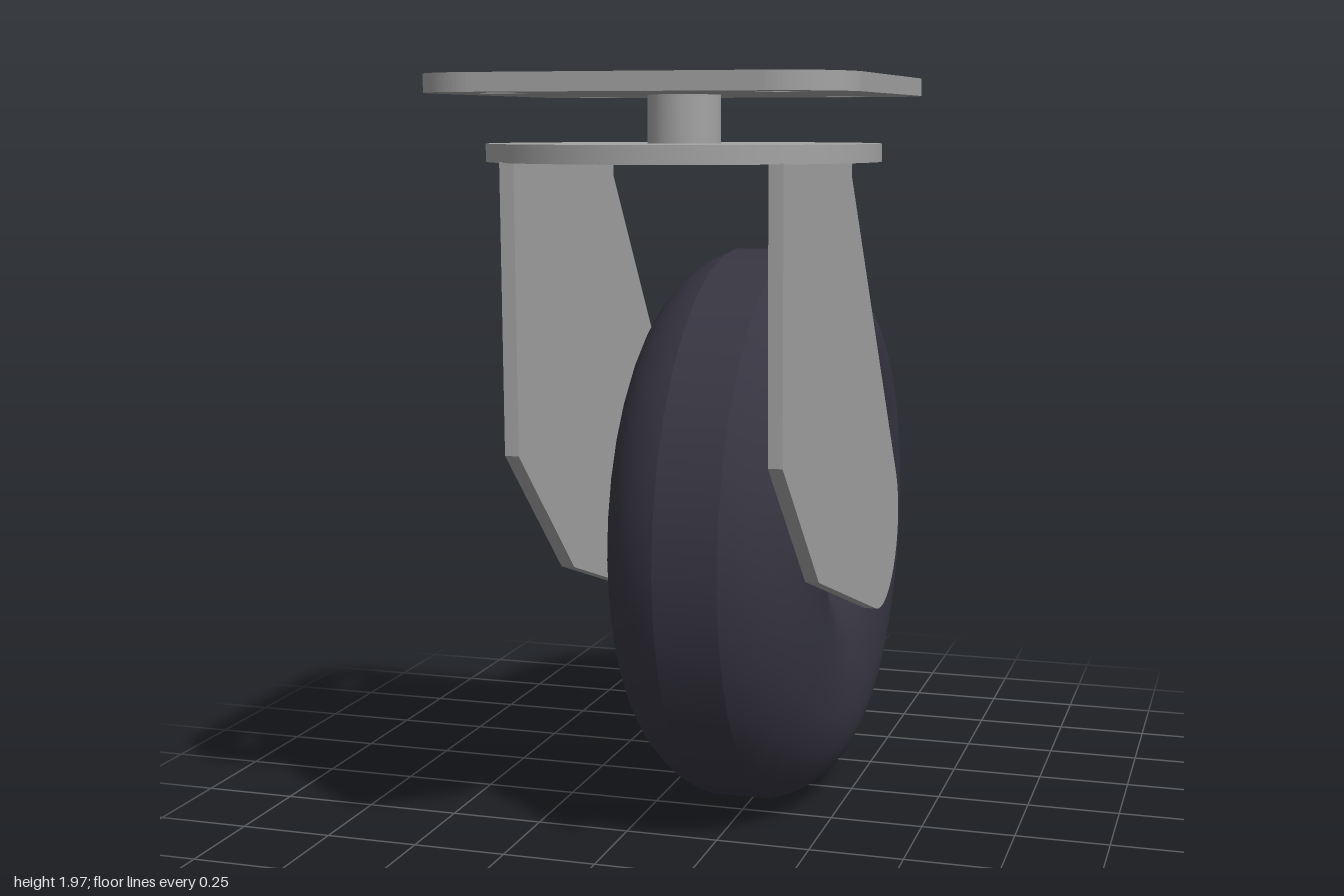
import * as THREE from 'three';

const metal = new THREE.MeshStandardMaterial({ color: 0xa4a4a4 });
metal.name = 'grey metal';
const rubber = new THREE.MeshStandardMaterial({ color: 0x363541 });
rubber.name = 'dark rubber';

const AXLE_Y = 0.762, AXLE_Z = -0.238, SWIVEL_Z = 0.5;

function add(parent, name, geometry, material, x = 0, y = 0, z = 0) {
  const mesh = new THREE.Mesh(geometry, material);
  mesh.name = name;
  mesh.position.set(x, y, z);
  parent.add(mesh);
  return mesh;
}

// Square plate with rounded corners and four bolt holes
function mountingPlateGeometry() {
  const h = 0.5, r = 0.175, s = new THREE.Shape();
  s.absarc(h - r, h - r, r, 0, Math.PI / 2);
  s.absarc(r - h, h - r, r, Math.PI / 2, Math.PI);
  s.absarc(r - h, r - h, r, Math.PI, Math.PI * 1.5);
  s.absarc(h - r, r - h, r, Math.PI * 1.5, Math.PI * 2);
  for (const x of [-0.323, 0.323]) {
    for (const y of [-0.323, 0.323]) {
      s.holes.push(new THREE.Path().absarc(x, y, 0.057, 0, Math.PI * 2, true));
    }
  }
  return new THREE.ExtrudeGeometry(s, { depth: 0.042, bevelEnabled: false, curveSegments: 12 })
    .rotateX(-Math.PI / 2);
}

// Fork cheek: straight edges running tangent into a round end at the axle
function forkGeometry(thickness) {
  const r = 0.223;
  const tangent = (u, v, side) => {
    const du = u - AXLE_Z, dv = v - AXLE_Y;
    return Math.atan2(dv, du) + side * Math.acos(r / Math.hypot(du, dv));
  };
  const s = new THREE.Shape();
  s.moveTo(0.17, 1.775);
  s.lineTo(0.835, 1.775);
  s.lineTo(0.835, 1.105);
  s.lineTo(0.49, 0.77);
  s.absarc(AXLE_Z, AXLE_Y, r, tangent(0.49, 0.77, -1), tangent(0.17, 1.73, 1), true);
  s.lineTo(0.17, 1.73);
  s.closePath();
  return new THREE.ExtrudeGeometry(s, { depth: thickness, bevelEnabled: false, curveSegments: 20 })
    .translate(0, 0, -thickness / 2)
    .rotateY(-Math.PI / 2);
}

// Tyre wall: round shoulder, then a hollow sloping in to the hub
function tyreSideGeometry() {
  const points = [], mid = 0.5, bulge = 0.275, inner = 0.43;
  const start = Math.asin(0.262 / bulge), end = -Math.asin(0.39 / inner);
  for (let i = 0; i <= 24; i++) {
    const a = start + (end - start) * i / 24;
    points.push(new THREE.Vector2(mid + Math.sin(a) * (a > 0 ? bulge : inner), Math.cos(a) * bulge));
  }
  return new THREE.LatheGeometry(points, 36);
}

export function createModel() {
  const caster = new THREE.Group();
  caster.name = 'swivelCaster';

  // Swivel head
  add(caster, 'mountingPlate', mountingPlateGeometry(), metal, 0, 1.928, SWIVEL_Z);
  add(caster, 'swivelPost', new THREE.CylinderGeometry(0.087, 0.087, 0.125, 32), metal, 0, 1.87, SWIVEL_Z);
  add(caster, 'swivelDisc', new THREE.CylinderGeometry(0.466, 0.466, 0.042, 64), metal, 0, 1.794, SWIVEL_Z);

  // Fork cheeks
  const fork = forkGeometry(0.034);
  add(caster, 'rightFork', fork, metal, -0.314);
  add(caster, 'leftFork', fork, metal, 0.314);

  // Wheel, turned so that its axis lies along x
  const wheel = new THREE.Group();
  wheel.name = 'wheel';
  wheel.position.set(0, AXLE_Y, AXLE_Z);
  wheel.rotation.z = -Math.PI / 2;
  caster.add(wheel);
  const flat = Math.sqrt(0.275 ** 2 - 0.262 ** 2);
  add(wheel, 'tread', new THREE.CylinderGeometry(0.762, 0.762, flat * 2, 36, 1, true), rubber);
  const wall = tyreSideGeometry();
  add(wheel, 'leftTyreWall', wall, rubber);
  add(wheel, 'rightTyreWall', wall, rubber).rotation.x = Math.PI;
  add(wheel, 'hub', new THREE.CylinderGeometry(0.114, 0.114, 0.25, 32), metal);
  add(wheel, 'axle', new THREE.CylinderGeometry(0.055, 0.055, 0.61, 24), metal);

  return caster;
}
